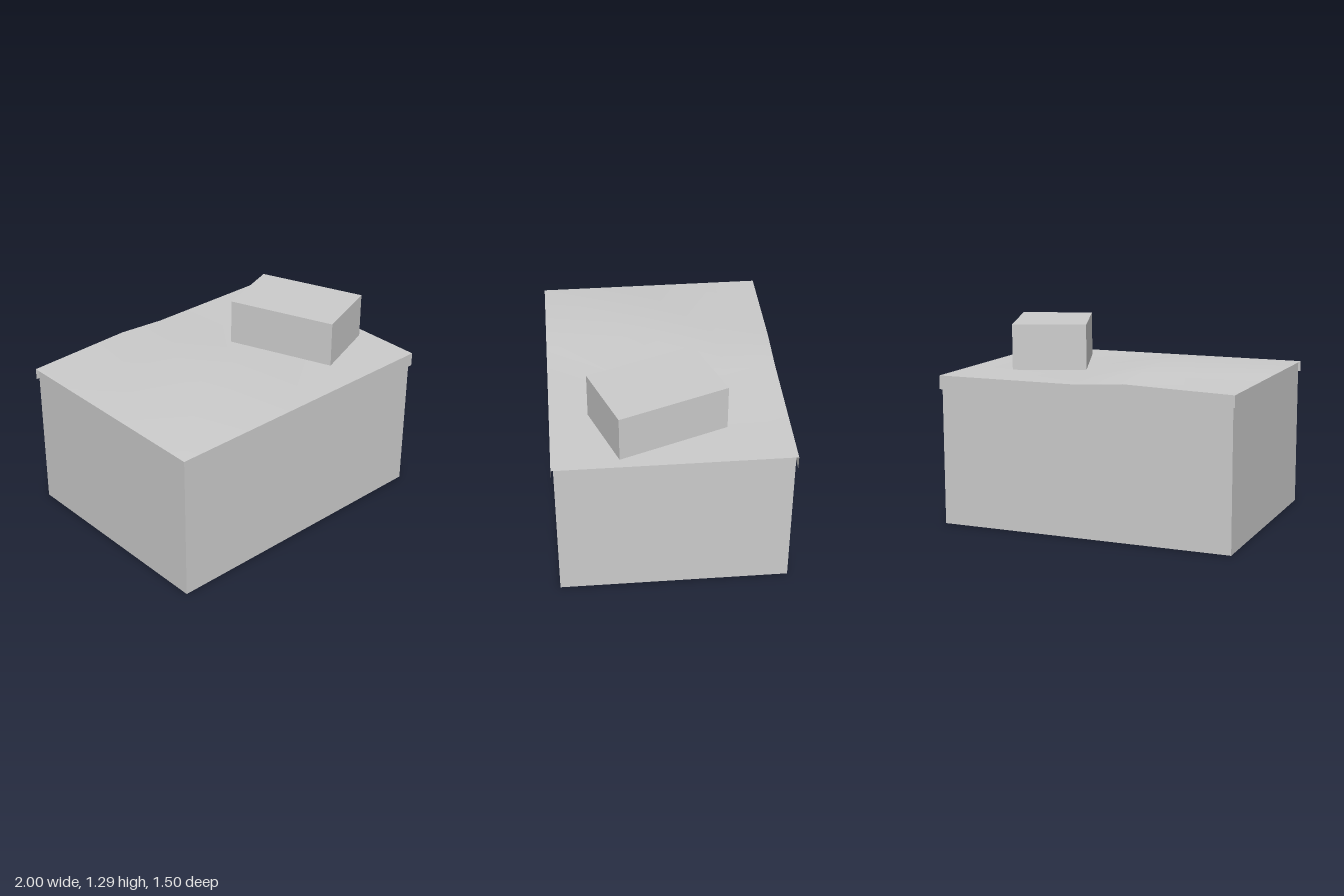
import * as THREE from 'three';

const material = new THREE.MeshStandardMaterial({ color: 0xcccccc, side: THREE.DoubleSide });

function createModel() {
  const model = new THREE.Group();
  const add = (name, geometry) => {
    const mesh = new THREE.Mesh(geometry, material);
    mesh.name = name;
    model.add(mesh);
    return mesh;
  };

  const EAVE = 0.99, HALF_X = 0.987, HALF_Z = 0.735, ROOF_Z = 0.75;

  // Four thin walls, open underneath
  for (const s of [1, -1]) {
    const long = add(s > 0 ? 'frontWall' : 'backWall', new THREE.PlaneGeometry(HALF_X * 2, EAVE));
    long.position.set(0, EAVE / 2, s * HALF_Z);
    long.rotation.y = s > 0 ? 0 : Math.PI;
    const end = add(s > 0 ? 'leftWall' : 'rightWall', new THREE.PlaneGeometry(HALF_Z * 2, EAVE));
    end.position.set(s * HALF_X, EAVE / 2, 0);
    end.rotation.y = s * Math.PI / 2;
  }

  // Roof: a low hump on one half, flat under the box on the other
  // Each row: z, height of the hump, x where the hump runs out
  const rows = [
    [-ROOF_Z, 1.012, 0.05], [-0.4, 1.035, 0.07],
    [0.1, 1.063, 0.2], [ROOF_Z, EAVE, 0.08],
  ];
  const positions = [], index = [], COLS = 4;
  rows.forEach(([z, hump, edge], r) => {
    positions.push(-1, EAVE, z, -0.28, hump, z, edge, EAVE, z, 1, EAVE, z);
    if (r === 0) return;
    for (let c = 0; c < COLS - 1; c++) {
      const a = (r - 1) * COLS + c, b = r * COLS + c;
      index.push(a, b, a + 1, b, b + 1, a + 1);
    }
  });
  const roof = new THREE.BufferGeometry();
  roof.setAttribute('position', new THREE.Float32BufferAttribute(positions, 3));
  roof.setIndex(index);
  roof.computeVertexNormals();
  add('roof', roof);

  // Thin eave strips along front and back, with a slightly uneven lower edge
  const eave = (name, z, outline) => {
    const shape = new THREE.Shape(outline.map(([x, y]) => new THREE.Vector2(x, y)));
    add(name, new THREE.ShapeGeometry(shape)).position.z = z;
  };
  eave('frontEave', ROOF_Z, [
    [-1, 0.92], [-0.33, 0.878], [-0.08, 0.905], [1, 0.9], [1, EAVE], [-1, EAVE],
  ]);
  eave('backEave', -ROOF_Z, [
    [-1, 0.915], [-0.23, 0.907], [0.08, 0.886], [1, 0.9],
    [1, EAVE], [0.05, EAVE], [-0.28, 1.012], [-1, EAVE],
  ]);

  // Turned box on the roof
  const box = add('rooftopBox', new THREE.BoxGeometry(0.49, 0.303, 0.735));
  box.position.set(0.57, 1.1415, 0.075);
  box.rotation.y = 0.36;

  return model;
}

export { createModel };
